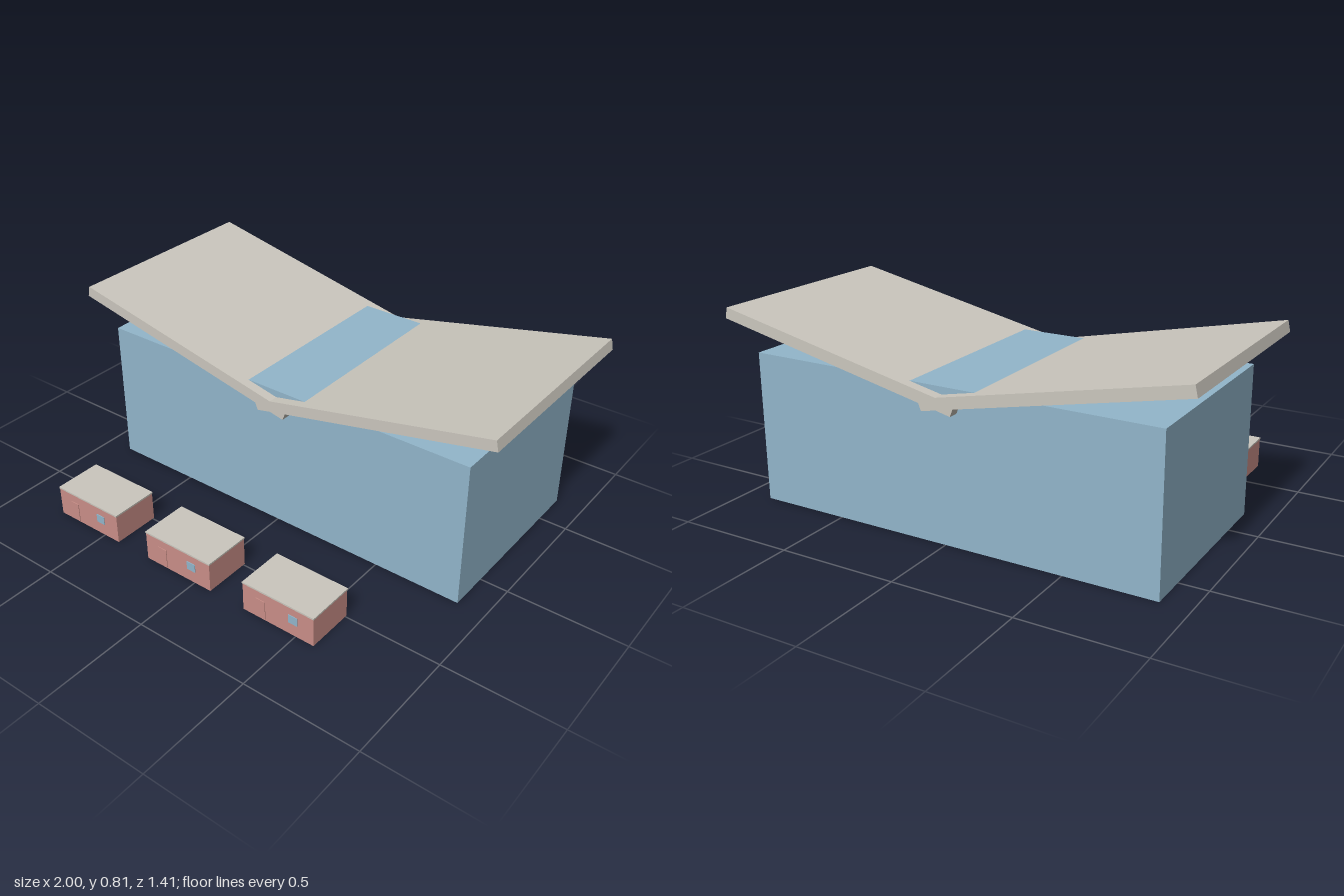
import * as THREE from 'three';

export function createModel() {
  const model = new THREE.Group();
  const mat = (name, color) => {
    const m = new THREE.MeshStandardMaterial({ color });
    m.name = name;
    return m;
  };
  const blue = mat('glass blue', 0x92b6cb);
  const grey = mat('roof grey', 0xcbc7be);
  const red = mat('brick red', 0xca8f88);

  // box given by its minimum and maximum corners
  const box = (name, material, a, b, parent) => {
    const g = new THREE.BoxGeometry(b[0] - a[0], b[1] - a[1], b[2] - a[2]);
    const mesh = new THREE.Mesh(g, material);
    mesh.name = name;
    mesh.position.set((a[0] + b[0]) / 2, (a[1] + b[1]) / 2, (a[2] + b[2]) / 2);
    parent.add(mesh);
    return mesh;
  };

  // main hall
  box('mainHall', blue, [-0.88, 0, -0.66], [0.88, 0.63, 0.176], model);

  // butterfly roof: mirrored V profile with a gutter keel
  const half = [[0.99, 0.81], [1, 0.765], [0.075, 0.568], [0.063, 0.538]];
  const profile = [
    [0, 0.6], ...half, [0, 0.552],
    ...half.slice().reverse().map(([x, y]) => [-x, y]),
  ];
  const shape = new THREE.Shape(profile.map(([x, y]) => new THREE.Vector2(x, y)));
  const roofGeo = new THREE.ExtrudeGeometry(shape, { depth: 0.92, bevelEnabled: false });
  roofGeo.translate(0, 0, -0.703);
  const roof = new THREE.Mesh(roofGeo, grey);
  roof.name = 'butterflyRoof';
  model.add(roof);

  // row of small cabins
  [-0.755, -0.253, 0.249].forEach((x, i) => {
    const cabin = new THREE.Group();
    cabin.name = 'cabin' + (i + 1);
    cabin.position.x = x;
    box('walls', red, [0, 0, 0.492], [0.334, 0.127, 0.7], cabin);
    box('flatRoof', grey, [-0.002, 0.127, 0.49], [0.336, 0.134, 0.702], cabin);
    box('door', red, [0.064, 0.005, 0.7], [0.108, 0.09, 0.703], cabin);
    box('window', blue, [0.218, 0.055, 0.7], [0.26, 0.092, 0.703], cabin);
    model.add(cabin);
  });

  return model;
}
